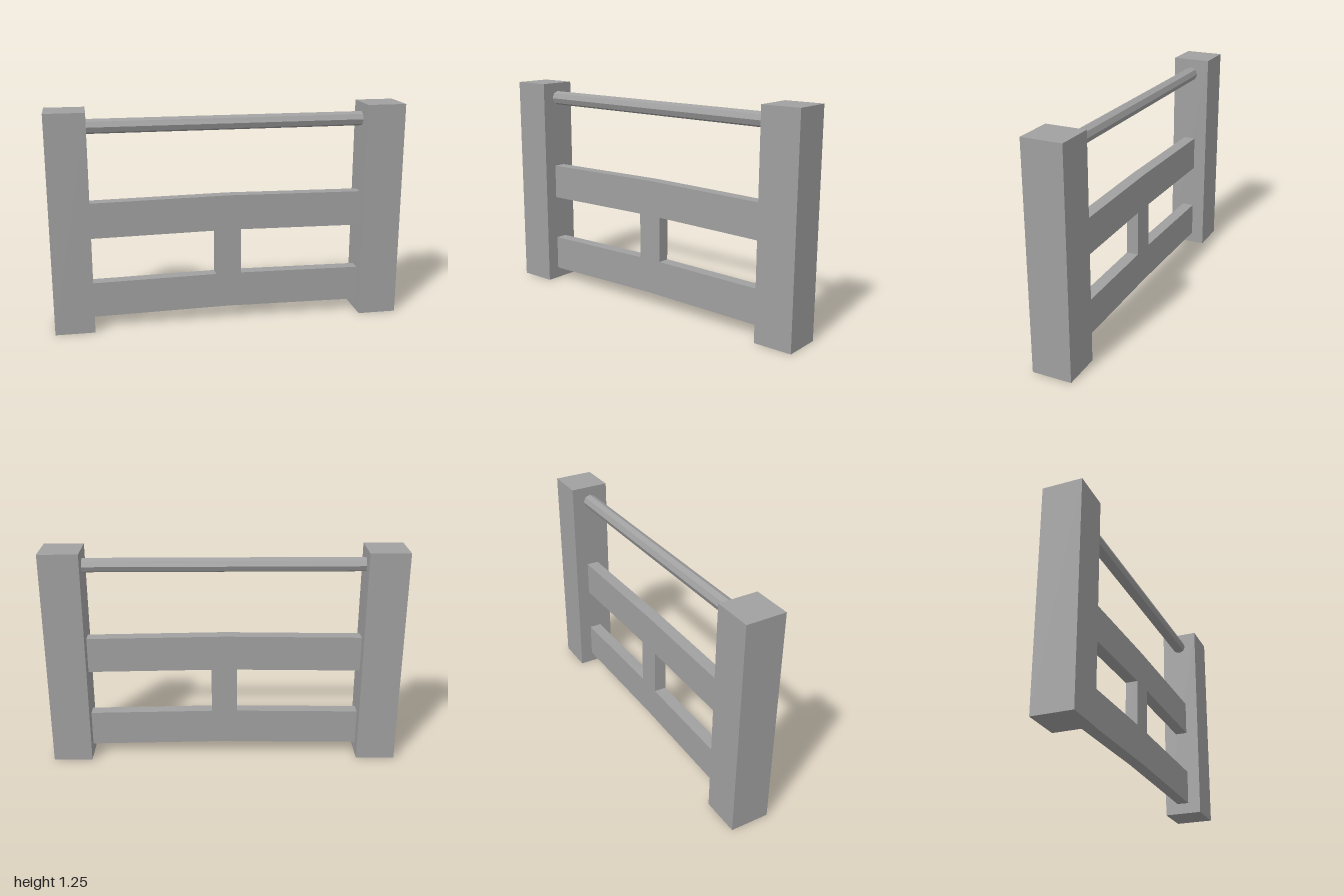
import * as THREE from 'three';

export function createModel() {
  const model = new THREE.Group();
  model.name = 'fence';
  const grey = new THREE.MeshStandardMaterial({ color: 0xa0a0a0 });
  grey.name = 'grey';

  const add = (name, geometry, x, y, z) => {
    const mesh = new THREE.Mesh(geometry, grey);
    mesh.name = name;
    mesh.position.set(x, y, z);
    model.add(mesh);
    return mesh;
  };

  const postWidth = 0.222, postHeight = 1.247, inner = 0.778, depth = 0.07;

  // Square end posts
  for (const [name, side] of [['leftPost', 1], ['rightPost', -1]]) {
    add(name, new THREE.BoxGeometry(postWidth, postHeight, postWidth),
      side * (1 - postWidth / 2), postHeight / 2, 0);
  }

  // Wide beams, bent slightly upward in the middle
  const beamHeight = 0.203, rise = 0.011;
  const beam = () => {
    const geometry = new THREE.BoxGeometry(inner * 2, beamHeight, depth, 2, 1, 1);
    const p = geometry.attributes.position;
    for (let i = 0; i < p.count; i++) {
      p.setY(i, p.getY(i) + rise * (1 - Math.abs(p.getX(i)) / inner));
    }
    geometry.computeVertexNormals();
    return geometry;
  };
  add('lowerBeam', beam(), 0, 0.166, 0);
  add('upperBeam', beam(), 0, 0.632, 0);

  // Short strut between the beams
  add('centreStrut', new THREE.BoxGeometry(0.146, 0.266, depth), 0, 0.41, 0);

  // Eight-sided top rail with flat facets
  const rail = new THREE.CylinderGeometry(0.041, 0.041, inner * 2, 8).toNonIndexed();
  rail.computeVertexNormals();
  add('topRail', rail, 0, 1.156, 0).rotation.z = Math.PI / 2;

  return model;
}
